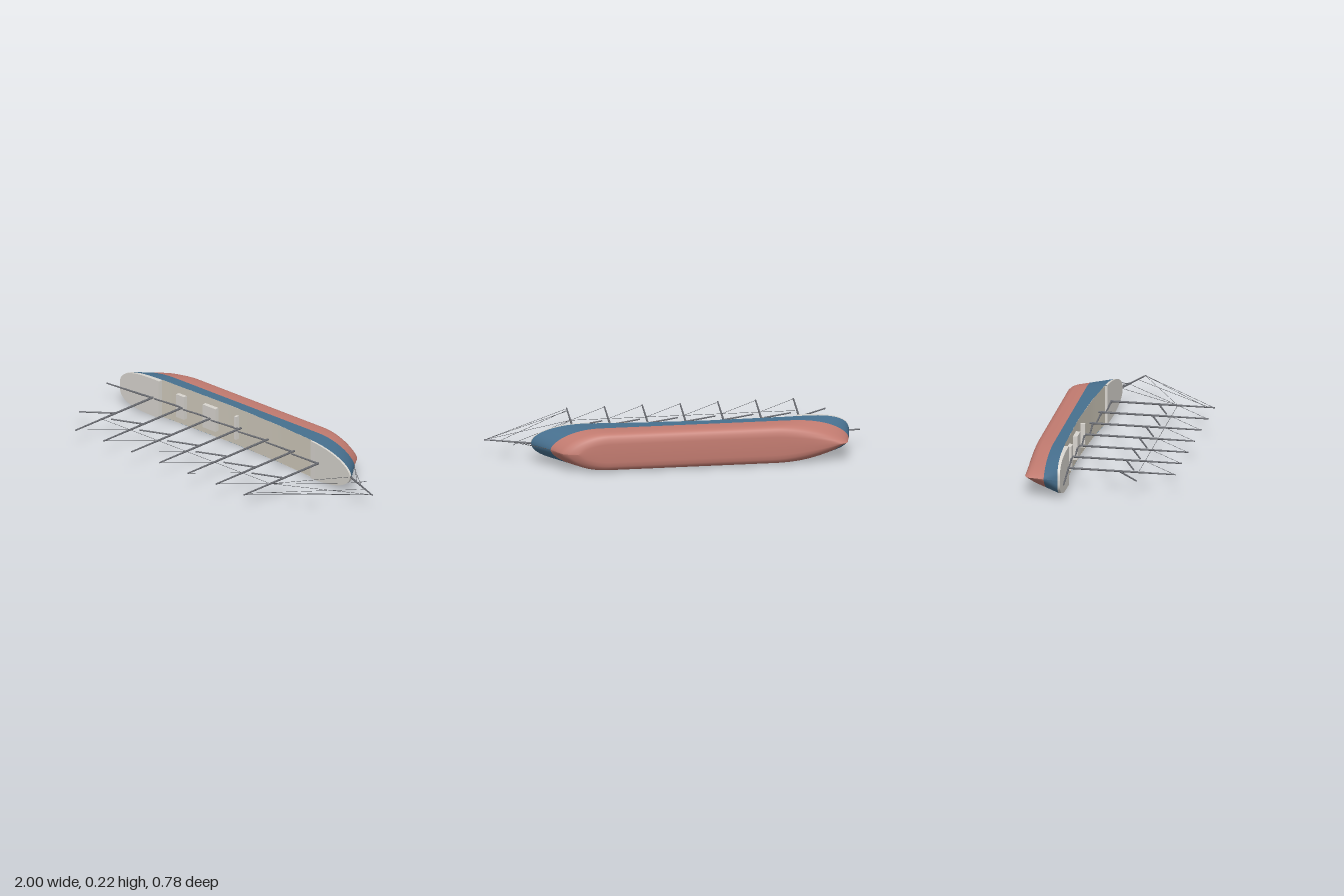
import * as THREE from 'three';

const mat = (color) => new THREE.MeshStandardMaterial({ color, side: THREE.DoubleSide });
const blue = mat(0x47708f), red = mat(0xc27b70), beige = mat(0xcfc9bb);
const pale = mat(0xd8d5cf), spar = mat(0x6a6c72), rope = mat(0x55575c);
const lerp = THREE.MathUtils.lerp;

// piecewise-linear lookup in a short list of [key, value] points
function look(points, k) {
  if (k <= points[0][0]) return points[0][1];
  for (let i = 1; i < points.length; i++) {
    const [a, va] = points[i - 1], [b, vb] = points[i];
    if (k <= b) return lerp(va, vb, (k - a) / (b - a));
  }
  return points[points.length - 1][1];
}

// grid surface from a rule fn(u, v) -> [x, y, z]
function loft(nu, nv, fn, flip = false) {
  const pos = [], idx = [];
  for (let j = 0; j <= nv; j++)
    for (let i = 0; i <= nu; i++) pos.push(...fn(i / nu, j / nv));
  for (let j = 0; j < nv; j++)
    for (let i = 0; i < nu; i++) {
      const a = j * (nu + 1) + i, b = a + 1, c = a + nu + 1, d = c + 1;
      idx.push(...(flip ? [a, c, b, b, c, d] : [a, b, c, b, d, c]));
    }
  const g = new THREE.BufferGeometry();
  g.setAttribute('position', new THREE.Float32BufferAttribute(pos, 3));
  g.setIndex(idx);
  g.computeVertexNormals();
  return g;
}

// Ship axes: x forward, y up, z across. Hull lines:
const KEEL = -0.39, WATER = -0.283;
const SHEER = [[-0.94, -0.207], [-0.6, -0.221], [-0.15, -0.226], [0.2, -0.212], [0.5, -0.187], [0.76, -0.163]];
const BEAM = [[-0.39, 0.05], [-0.386, 0.074], [-0.378, 0.09], [-0.365, 0.1], [-0.345, 0.106], [-0.3, 0.1075]];
const STEM = [[-0.39, 0.54], [-0.378, 0.59], [-0.362, 0.622], [-0.3, 0.66], [-0.163, 0.76]];
const STERN = [[-0.39, -0.88], [-0.375, -0.905], [-0.207, -0.935]];
const sheer = (x) => look(SHEER, x);

// half breadth at x on the level whose ends are xs and xb
function half(x, level, xs, xb) {
  const h = THREE.MathUtils.clamp((level - KEEL) / 0.19, 0, 1);
  const b0 = lerp(0.36, 0.45, h), s0 = lerp(-0.5, -0.66, h);
  let w = look(BEAM, level);
  if (x > b0) w *= Math.pow(Math.max(0, 1 - ((x - b0) / (xb - b0)) ** 2), lerp(0.8, 0.5, h));
  if (x < s0) w *= Math.pow(Math.max(0, 1 - ((s0 - x) / (s0 - xs)) ** lerp(1.7, 3, h)), lerp(1, 0.34, h));
  return w;
}
const ease = (u) => (1 - Math.cos(Math.PI * u)) / 2;

export function createModel() {
  const model = new THREE.Group();
  model.name = 'sailingShip';
  const ship = new THREE.Group();
  ship.name = 'shipOnItsSide';
  ship.rotation.x = Math.PI / 2;
  ship.position.y = 0.108;
  model.add(ship);

  const add = (name, geometry, material) => {
    const m = new THREE.Mesh(geometry, material);
    m.name = name;
    ship.add(m);
    return m;
  };
  // tapered round bar in the centre plane
  const bar = (name, x0, y0, x1, y1, r0, r1 = r0, material = spar, sides = 8) => {
    const len = Math.hypot(x1 - x0, y1 - y0);
    const m = add(name, new THREE.CylinderGeometry(r1, r0, len, sides), material);
    m.position.set((x0 + x1) / 2, (y0 + y1) / 2, 0);
    m.rotation.z = Math.atan2(y1 - y0, x1 - x0) - Math.PI / 2;
  };
  const line = (name, x0, y0, x1, y1) => bar(name, x0, y0, x1, y1, 0.0011, 0.0011, rope, 4);

  // hull sides: red below the waterline, blue above
  const levels = [KEEL, ...BEAM.map((p) => p[0]), WATER];
  for (const side of [1, -1]) {
    const label = side < 0 ? 'left' : 'right';
    add(label + 'LowerHull', loft(64, levels.length - 1, (u, v) => {
      const k = Math.round(v * (levels.length - 1)), y = levels[k];
      const xs = look(STERN, y), xb = look(STEM, y), x = lerp(xs, xb, ease(u));
      return [x, y, k === 0 ? 0 : side * half(x, y, xs, xb)];
    }, side < 0), red);
    add(label + 'UpperHull', loft(64, 6, (u, v) => {
      const xs = lerp(look(STERN, WATER), -0.935, v), xb = lerp(look(STEM, WATER), 0.76, v);
      const x = lerp(xs, xb, ease(u));
      return [x, lerp(WATER, sheer(x), v), side * half(x, lerp(WATER, -0.2, v), xs, xb)];
    }, side < 0), blue);
  }

  // decks follow the hull outline; raised ones get a side wall and end wall
  const deck = (name, x0, x1, top, material) => {
    const at = (u) => {
      const x = lerp(x0, x1, ease(u));
      return [x, top(x), half(x, -0.2, -0.935, 0.76)];
    };
    add(name, loft(28, 2, (u, v) => {
      const [x, y, w] = at(u);
      return [x, y, w * (1 - 2 * v)];
    }), material);
    for (const side of [1, -1])
      add(name + 'Side', loft(28, 1, (u, v) => {
        const [x, y, w] = at(u);
        return [x, v ? y : sheer(x), side * w];
      }, side < 0), material);
  };
  deck('mainDeck', -0.66, 0.45, (x) => sheer(x) - 0.001, beige);
  deck('poopDeck', -0.935, -0.655, () => -0.194, pale);
  deck('forecastleDeck', 0.45, 0.76, (x) => sheer(x) + 0.012, pale);
  const wall = (name, x, y0, y1) => {
    add(name, new THREE.BoxGeometry(0.004, y1 - y0, 0.21), pale).position.set(x, (y0 + y1) / 2, 0);
  };
  wall('poopFrontWall', -0.657, -0.225, -0.194);
  wall('forecastleBackWall', 0.452, -0.2, -0.179);

  // deckhouses and the cross beam
  for (const [name, x, w] of [['aftDeckhouse', -0.508, 0.057], ['midDeckhouse', -0.3, 0.092], ['crossBeam', -0.113, 0.015]])
    add(name, new THREE.BoxGeometry(w, 0.035, 0.132), pale).position.set(x, -0.219, 0);

  // seven raked masts, each with boom, gaff and stays
  const mastX = (i, y) => -0.697 + i * 0.202 - 0.02 * (y + 0.2) / 0.59;
  for (let i = 0; i < 7; i++) {
    const foot = sheer(mastX(i, -0.2)) - 0.01;
    bar('lowerMast', mastX(i, foot), foot, mastX(i, 0.2), 0.2, 0.006, 0.0055);
    bar('topmast', mastX(i, 0.19), 0.19, mastX(i, 0.39), 0.39, 0.005, 0.004);
    const by = foot + 0.027, bx = mastX(i, by), gx = mastX(i, 0.085);
    if (i === 0) {
      bar('spankerBoom', bx, -0.188, -0.999, -0.162, 0.0055, 0.004);
      bar('spankerGaff', gx, 0.085, -0.863, 0.205, 0.005, 0.004);
    } else {
      bar('boom', bx, by, bx - 0.185, by + (i < 5 ? 0.018 : 0.004), 0.0055, 0.004);
      bar('gaff', gx, 0.088, gx - 0.168, 0.158, 0.005, 0.004);
      line('springStay', mastX(i - 1, 0.19), 0.19, mastX(i, 0.19), 0.19);
      line('topmastStay', mastX(i - 1, 0.385), 0.385, mastX(i, 0.19), 0.19);
    }
  }

  // bowsprit, striker and head stays
  bar('bowsprit', 0.73, -0.17, 0.999, -0.068, 0.006, 0.0035);
  bar('dolphinStriker', 0.83, -0.132, 0.858, -0.18, 0.002);
  for (const [y, x1, y1] of [[0.385, 0.995, -0.07], [0.345, 0.995, -0.07], [0.19, 0.995, -0.07], [0.36, 0.92, -0.098], [0.19, 0.835, -0.13], [0.19, 0.755, -0.16]])
    line('headStay', mastX(6, y), y, x1, y1);
  line('bobstay', 0.665, -0.29, 0.83, -0.132);
  line('bobstay', 0.69, -0.26, 0.858, -0.13);
  line('martingaleStay', 0.858, -0.18, 0.83, -0.132);
  return model;
}
